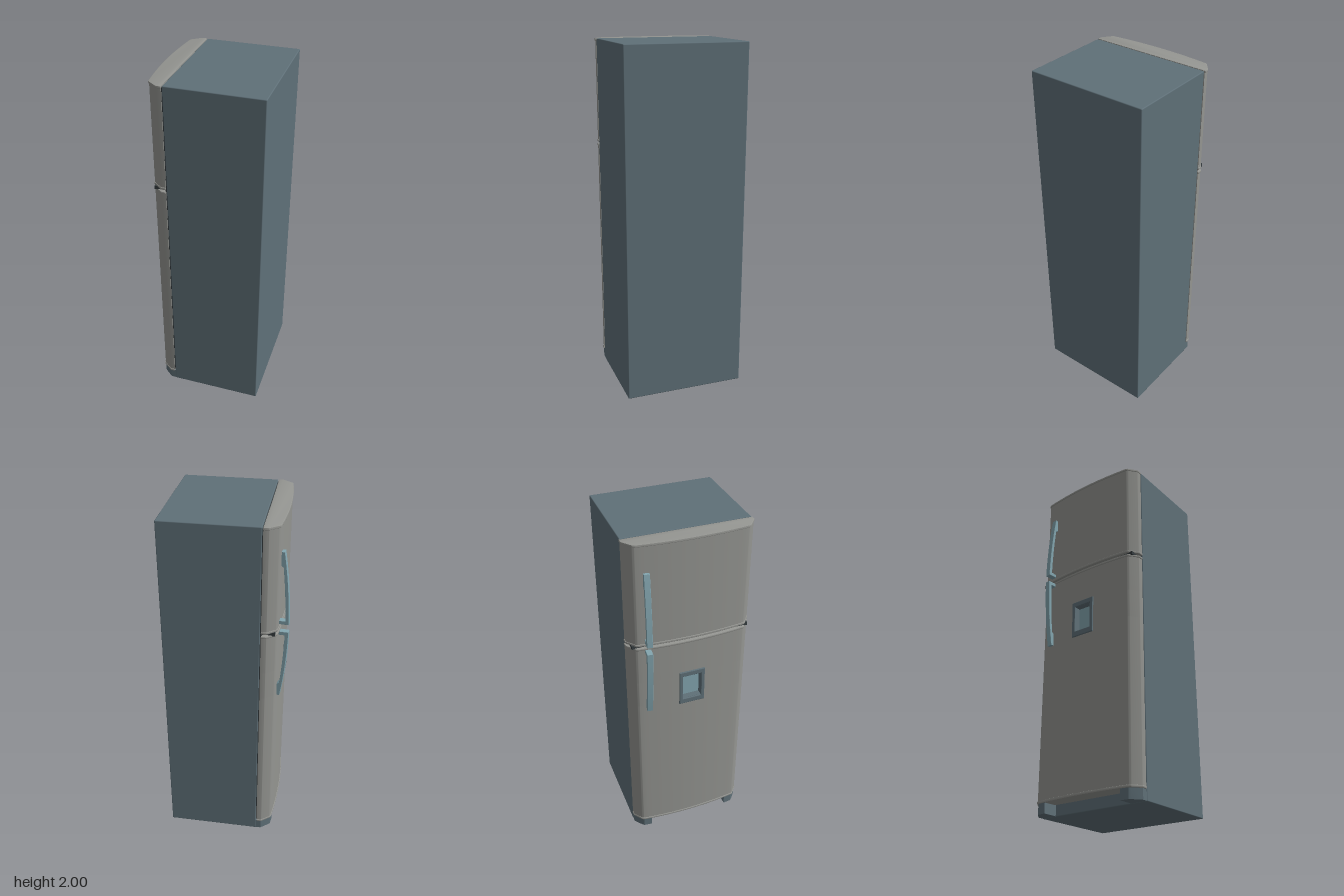
import * as THREE from 'three';
import { toCreasedNormals } from 'three/addons/utils/BufferGeometryUtils.js';
import { RoundedBoxGeometry } from 'three/addons/geometries/RoundedBoxGeometry.js';

const mat = (name, color) => new THREE.MeshStandardMaterial({ name, color });

export function createModel() {
  const slate = mat('slate cabinet', 0x5f7078);
  const grey = mat('grey door', 0x949591);
  const steel = mat('pale blue handle', 0x84a6b0);
  const dark = mat('dark gasket', 0x363d40);

  const model = new THREE.Group();
  model.name = 'refrigerator';
  const add = (name, geo, material, x = 0, y = 0, z = 0, parent = model) => {
    const m = new THREE.Mesh(geo, material);
    m.name = name;
    m.position.set(x, y, z);
    parent.add(m);
    return m;
  };
  const box = (w, h, d) => new THREE.BoxGeometry(w, h, d);

  // Horizontal section of the bowed door, grown outward by g, with an optional recess
  function doorShape(g, recess) {
    const s = new THREE.Shape();
    const bow = (z) => -0.3 - g + 0.019 * (z / 0.297) ** 2;
    s.moveTo(-0.2, -0.348 - g);
    s.lineTo(-0.2, 0.348 + g);
    s.lineTo(-0.222, 0.348 + g);
    s.quadraticCurveTo(-0.229, 0.348 + g, -0.235, 0.342 + g);
    s.lineTo(-0.273, 0.312 + g);
    s.quadraticCurveTo(-0.28 - g, 0.306 + g, bow(0.295), 0.295);
    for (let i = 1; i < 24; i++) {
      const z = 0.295 - (0.59 * i) / 24;
      if (recess && Math.abs(z) < 0.062) continue;
      s.lineTo(bow(z), z);
      if (recess && z > 0 && z - 0.59 / 24 < 0.062) {
        s.lineTo(bow(0.058), 0.058);
        s.lineTo(-0.262, 0.058);
        s.lineTo(-0.262, -0.058);
        s.lineTo(bow(0.058), -0.058);
      }
    }
    s.lineTo(bow(0.295), -0.295);
    s.quadraticCurveTo(-0.28 - g, -0.306 - g, -0.273, -0.312 - g);
    s.lineTo(-0.235, -0.342 - g);
    s.quadraticCurveTo(-0.229, -0.348 - g, -0.222, -0.348 - g);
    return s;
  }

  // Extrude a horizontal section between two heights
  function slab(shape, y0, y1, bevel = 0) {
    const geo = new THREE.ExtrudeGeometry(shape, {
      depth: y1 - y0 - 2 * bevel, bevelEnabled: bevel > 0, bevelThickness: bevel,
      bevelSize: bevel, bevelOffset: -bevel, bevelSegments: 2, curveSegments: 5,
    });
    geo.rotateX(-Math.PI / 2).translate(0, y0 + bevel, 0);
    return toCreasedNormals(geo, 0.5);
  }

  // Cabinet and gasket
  add('cabinet', new RoundedBoxGeometry(0.53, 2, 0.697, 2, 0.005), slate, 0.07, 1, 0);
  add('gasket', box(0.012, 1.92, 0.685), dark, -0.198, 1.03, 0);

  // Doors with a raised lip along each end
  const doors = [
    ['freezerDoor', 1.408, 2, [[1.408, 2]]],
    ['fridgeDoor', 0.06, 1.396, [[0.06, 1], [1, 1.165, true], [1.165, 1.396]]],
  ];
  for (const [name, y0, y1, parts] of doors) {
    const door = new THREE.Group();
    door.name = name;
    model.add(door);
    for (const [a, b, recess] of parts) {
      add('doorPanel', slab(doorShape(0, recess), Math.max(a, y0 + 0.003), Math.min(b, y1 - 0.003)), grey, 0, 0, 0, door);
    }
    for (const y of [y0, y1 - 0.014]) {
      add('doorLip', slab(doorShape(0.004), y, y + 0.014, 0.004), grey, 0, 0, 0, door);
    }
  }
  add('doorSeam', box(0.07, 0.02, 0.66), dark, -0.237, 1.402, 0);

  // Handles: a tapering arc with a foot near the seam
  const h = new THREE.Shape();
  h.moveTo(-0.285, 0.435);
  h.lineTo(-0.303, 0.435);
  h.quadraticCurveTo(-0.335, 0.24, -0.339, 0.022);
  h.lineTo(-0.285, 0.022);
  h.lineTo(-0.285, 0.043);
  h.lineTo(-0.319, 0.043);
  h.quadraticCurveTo(-0.316, 0.2, -0.299, 0.35);
  h.lineTo(-0.285, 0.36);
  const handleGeo = new THREE.ExtrudeGeometry(h, {
    depth: 0.029, bevelEnabled: true, bevelThickness: 0.0015, bevelSize: 0.0015,
    bevelOffset: -0.0015, bevelSegments: 1, curveSegments: 14,
  });
  handleGeo.translate(0.29, 0, -0.0145).rotateY(-0.1);
  const upper = toCreasedNormals(handleGeo, 0.5);
  add('upperHandle', upper, steel, -0.29, 1.407, -0.247);
  // Half turn about x mirrors the bar downward; flip its tilt back
  const lowerGeo = upper.clone().rotateX(Math.PI).rotateY(-0.2);
  add('lowerHandle', lowerGeo, steel, -0.29, 1.407, -0.247);

  // Water dispenser: raised frame around a recess
  const rect = (P, w, y0, y1) => new P([
    new THREE.Vector2(-w, y0), new THREE.Vector2(w, y0),
    new THREE.Vector2(w, y1), new THREE.Vector2(-w, y1),
  ]);
  const frame = rect(THREE.Shape, 0.074, 0.972, 1.19);
  frame.holes.push(rect(THREE.Path, 0.054, 1.004, 1.161));
  const frameGeo = new THREE.ExtrudeGeometry(frame, {
    depth: 0.009, bevelEnabled: true, bevelThickness: 0.003, bevelSize: 0.003,
    bevelOffset: -0.003, bevelSegments: 2,
  });
  frameGeo.rotateY(-Math.PI / 2);
  add('dispenserFrame', frameGeo, slate, -0.296, 0, 0);
  add('dispenserBack', box(0.004, 0.164, 0.115), steel, -0.264, 1.0825, 0);
  for (const s of [-1, 1]) {
    add('dispenserSide', box(0.038, 0.164, 0.004), slate, -0.281, 1.0825, s * 0.056);
    add('dispenserEnd', box(0.038, 0.004, 0.115), slate, -0.281, 1.0825 + s * 0.08, 0);
  }

  // Front feet following the corners of the doors
  for (const s of [-1, 1]) {
    const f = new THREE.Shape();
    f.moveTo(-0.19, s * 0.25);
    f.lineTo(-0.19, s * 0.346);
    f.lineTo(-0.225, s * 0.346);
    f.lineTo(-0.272, s * 0.308);
    f.lineTo(-0.28, s * 0.298);
    f.lineTo(-0.285, s * 0.25);
    add(s < 0 ? 'leftFoot' : 'rightFoot', slab(f, 0.002, 0.062), slate);
  }
  return model;
}
